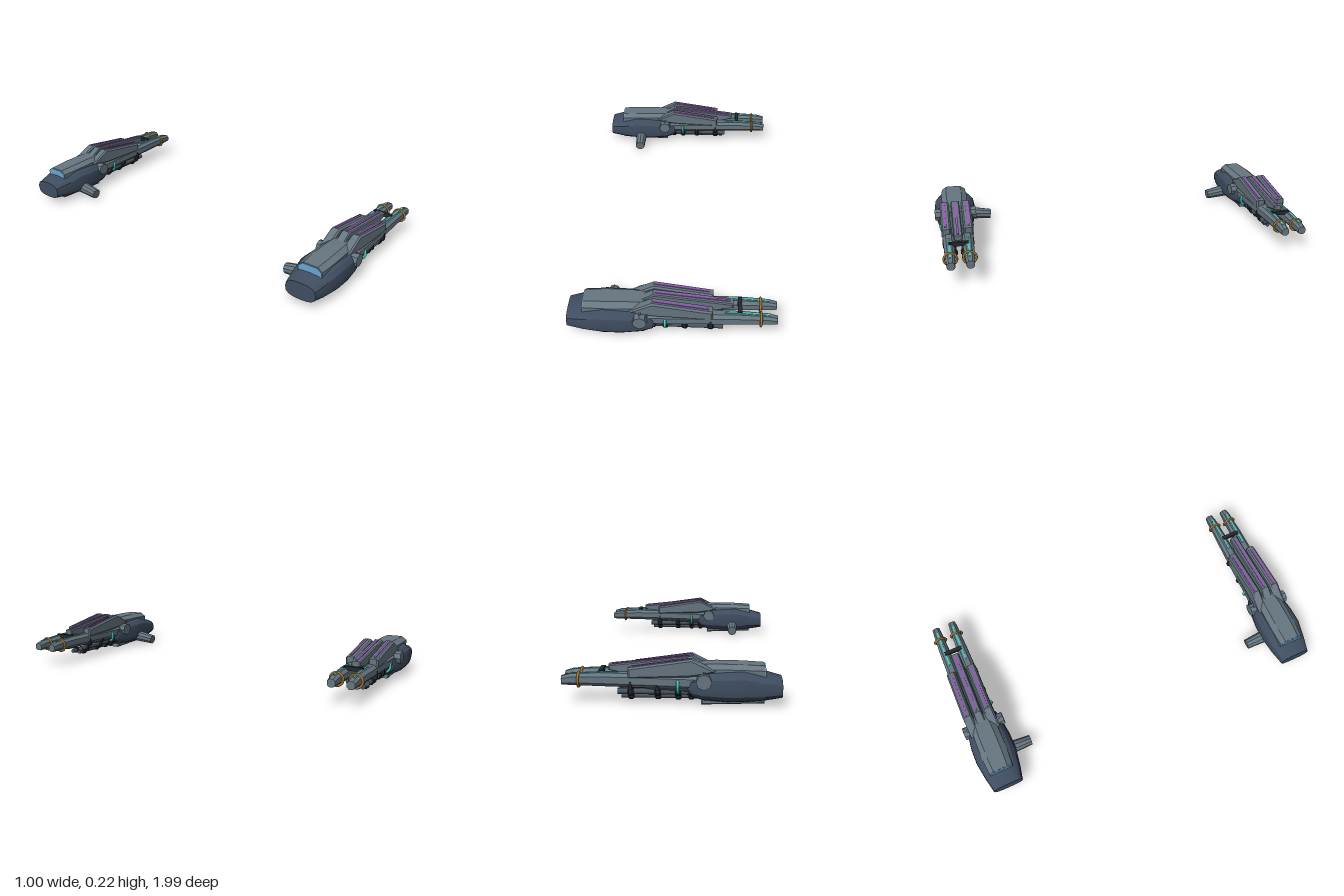
import * as THREE from 'three';
import { toCreasedNormals } from 'three/addons/utils/BufferGeometryUtils.js';

const mat = (name, color) => new THREE.MeshStandardMaterial({ name, color });

// Cross-section outlines as unit [y, z] rings
const octagon = (c) => [[1, -c], [1, c], [c, 1], [-c, 1], [-1, c], [-1, -c], [-c, -1], [c, -1]];
const rounded = Array.from({ length: 16 }, (_, i) => {
  const a = (i / 16) * Math.PI * 2;
  const soft = (v) => Math.sign(v) * Math.pow(Math.abs(v), 0.72);
  return [soft(Math.cos(a)), soft(Math.sin(a))];
});

// Closed loft along x; each section is [x, yBottom, yTop, halfWidth]
function loft(sections, ring, crease = 0.5) {
  const pos = [];
  const n = ring.length;
  const point = ([x, y0, y1, w], j) => {
    const [y, z] = ring[j % n];
    return [x, (y0 + y1) / 2 + (y * (y1 - y0)) / 2, z * w];
  };
  const tri = (...pts) => pts.forEach((p) => pos.push(...p));
  const last = sections[sections.length - 1];
  const middle = ([x, y0, y1]) => [x, (y0 + y1) / 2, 0];
  for (let j = 0; j < n; j++) {
    for (let i = 0; i < sections.length - 1; i++) {
      const a = point(sections[i], j), b = point(sections[i], j + 1);
      const c = point(sections[i + 1], j + 1), d = point(sections[i + 1], j);
      tri(a, b, c);
      tri(a, c, d);
    }
    tri(middle(sections[0]), point(sections[0], j + 1), point(sections[0], j));
    tri(middle(last), point(last, j), point(last, j + 1));
  }
  const g = new THREE.BufferGeometry();
  g.setAttribute('position', new THREE.Float32BufferAttribute(pos, 3));
  g.computeVertexNormals();
  return toCreasedNormals(g, crease);
}

// Side outline in x/y extruded to a width, centred on z = 0
function slab(points, width, bevel = 0.005) {
  const shape = new THREE.Shape(points.map(([x, y]) => new THREE.Vector2(x, y)));
  const depth = width - bevel * 2;
  const g = new THREE.ExtrudeGeometry(shape, {
    depth, bevelEnabled: bevel > 0, bevelThickness: bevel,
    bevelSize: bevel, bevelOffset: -bevel, bevelSegments: 1,
  });
  return g.translate(0, 0, -depth / 2);
}

export function createModel() {
  const hullMat = mat('navyHull', 0x3f4d60);
  const steel = mat('steel', 0x667680);
  const gunmetal = mat('gunmetal', 0x4b565f);
  const black = mat('black', 0x25282e);
  const purple = mat('purple', 0x9c50bc);
  const bronze = mat('bronze', 0xa8752f);
  const teal = mat('teal', 0x42cdbd);
  const blue = mat('paleBlue', 0x6aa6d2);

  function cannon(side) {
    const group = new THREE.Group();
    group.name = side > 0 ? 'frontCannon' : 'rearCannon';
    group.position.z = side * 0.883;
    const add = (name, geometry, material, x = 0, y = 0, z = 0) => {
      const m = new THREE.Mesh(geometry, material);
      m.name = name;
      m.position.set(x, y, z);
      group.add(m);
      return m;
    };

    // Rear hull
    add('hull', loft([
      [-0.5, 0.035, 0.125, 0.083], [-0.42, 0.022, 0.147, 0.1], [-0.325, 0.014, 0.174, 0.114],
      [-0.24, 0.014, 0.168, 0.113], [-0.14, 0.02, 0.16, 0.1], [-0.09, 0.038, 0.14, 0.088],
      [-0.07, 0.07, 0.12, 0.07],
    ], rounded, 0.45), hullMat);

    // Raised deck, its rear light and the belly plate
    add('deck', loft([
      [-0.42, 0.09, 0.184, 0.066], [-0.32, 0.09, 0.189, 0.072],
      [-0.2, 0.09, 0.191, 0.07], [-0.1, 0.09, 0.186, 0.06],
    ], octagon(0.6)), steel);
    add('rearLight', loft([[-0.425, 0.092, 0.181, 0.064], [-0.419, 0.092, 0.181, 0.064]], octagon(0.6)), blue);
    add('bellyPlate', slab([[-0.42, 0.011], [-0.135, 0.002], [-0.135, 0.05], [-0.42, 0.05]], 0.1), steel);

    // Inward mounting arm
    const arm = add('mountArm', new THREE.CylinderGeometry(0.028, 0.036, 0.13, 10), steel, -0.305, 0.045, -side * 0.138);
    arm.material = steel;
    arm.geometry = toCreasedNormals(arm.geometry, 0.4);
    arm.rotation.x = -side * (Math.PI / 2 + 0.14);

    // Core frame behind and between the barrels
    add('core', loft([[-0.12, 0.05, 0.15, 0.07], [0.1, 0.06, 0.145, 0.06], [0.2, 0.085, 0.145, 0.045]], octagon(0.6)), gunmetal);

    // Central ridge with its light strip
    add('centreRidge', slab([
      [-0.19, 0.16], [-0.09, 0.219], [0.29, 0.177], [0.29, 0.152], [0.19, 0.13], [-0.12, 0.13],
    ], 0.046), steel);
    add('centreStrip', slab([[-0.08, 0.217], [-0.08, 0.221], [0.275, 0.183], [0.275, 0.177]], 0.011, 0), purple);

    for (const s of [-1, 1]) {
      // Side ridges and strips
      add('sideRidge', slab([
        [-0.2, 0.162], [-0.09, 0.218], [0.195, 0.176], [0.195, 0.126], [-0.08, 0.136], [-0.14, 0.145],
      ], 0.05, 0.008), steel, 0, 0, s * 0.058);
      add('sideStrip', slab([[-0.085, 0.216], [-0.085, 0.22], [0.175, 0.183], [0.175, 0.177]], 0.011, 0), purple, 0, 0, s * 0.06);

      // Tapered barrel, top light and clamp ring
      add('barrel', loft([
        [-0.12, 0.075, 0.142, 0.034], [0.15, 0.083, 0.147, 0.032], [0.33, 0.087, 0.149, 0.028],
        [0.46, 0.09, 0.142, 0.023], [0.5, 0.091, 0.131, 0.02],
      ], octagon(0.5)), steel, 0, 0, s * 0.048);
      add('barrelLight', slab([[0.25, 0.143], [0.25, 0.153], [0.34, 0.151], [0.465, 0.144], [0.465, 0.137]], 0.009, 0), teal, 0, 0, s * 0.048);
      const clamp = add('clampRing', new THREE.TorusGeometry(0.033, 0.006, 8, 24), bronze, 0.422, 0.114, s * 0.048);
      clamp.rotation.y = Math.PI / 2;

      // Glowing ring around the barrel root
      const ring = add('glowRing', new THREE.TorusGeometry(0.036, 0.007, 8, 24), teal, -0.03, 0.095, s * 0.05);
      ring.rotation.y = Math.PI / 2;

      // Side pivot and its marker
      const pivot = add('pivot', new THREE.CylinderGeometry(0.034, 0.036, 0.04, 8), steel, -0.148, 0.121, s * 0.094);
      pivot.geometry = toCreasedNormals(pivot.geometry, 0.4);
      pivot.rotation.x = Math.PI / 2;
      add('pivotMarker', new THREE.BoxGeometry(0.012, 0.006, 0.012), purple, -0.148, 0.158, s * 0.088);

      // Lower tubes with spindle collars
      for (const [y, z, r, end] of [[0.036, 0.024, 0.011, 0.23], [0.062, 0.048, 0.014, 0.245]]) {
        const length = end + 0.12;
        const tube = add('lowerTube', new THREE.CylinderGeometry(r, r, length, 10), gunmetal, end - length / 2, y, s * z);
        tube.rotation.z = Math.PI / 2;
        for (const x of [-0.09, -0.03, 0.062, 0.185]) {
          const k = r + 0.005;
          add('tubeCollar', loft([
            [x - 0.014, y - r, y + r, r], [x - 0.008, y - k, y + k, k],
            [x + 0.008, y - k, y + k, k], [x + 0.014, y - r, y + r, r],
          ], octagon(0.45)), black, 0, 0, s * z);
        }
      }
      // Collar struts up to the barrels
      for (const x of [0.062, 0.185]) {
        add('collarStrut', slab([[x - 0.011, 0.075], [x + 0.011, 0.075], [x + 0.003, x > 0.1 ? 0.115 : 0.1], [x - 0.003, x > 0.1 ? 0.115 : 0.1]], 0.012, 0), black, 0, 0, s * 0.076);
      }
    }

    // Bracket joining the barrels
    add('barrelBracket', new THREE.BoxGeometry(0.02, 0.02, 0.1), black, 0.322, 0.148, 0);
    return group;
  }

  const model = new THREE.Group();
  model.name = 'twinCannons';
  model.add(cannon(1), cannon(-1));
  return model;
}
